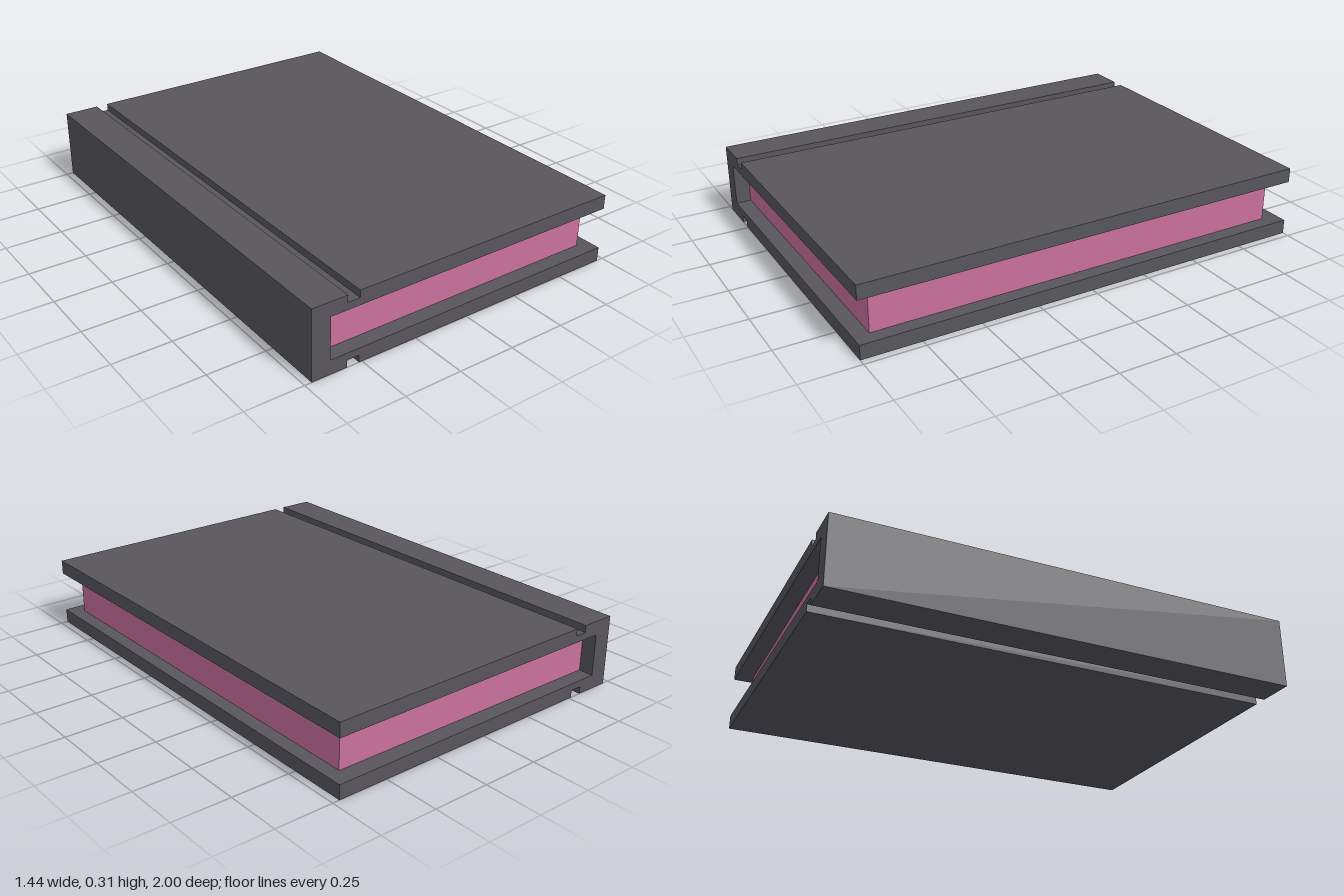
import * as THREE from 'three';

// Extrude a closed outline along z, centred on z = 0
function extrudeOutline(points, depth) {
  const shape = new THREE.Shape(points.map(([x, y]) => new THREE.Vector2(x, y)));
  const geometry = new THREE.ExtrudeGeometry(shape, { depth, bevelEnabled: false });
  return geometry.translate(0, 0, -depth / 2);
}

export function createModel() {
  const coverMaterial = new THREE.MeshStandardMaterial({ color: 0x58565c });
  coverMaterial.name = 'charcoal cover';
  const pageMaterial = new THREE.MeshStandardMaterial({ color: 0xcb719e });
  pageMaterial.name = 'pink pages';

  const book = new THREE.Group();
  book.name = 'book';

  // Cover: C-shaped section with a hinge groove in each board
  const height = 0.306;
  const lowerHalf = [
    [-0.72, 0], [-0.566, 0], [-0.566, 0.031], [-0.513, 0.031], [-0.513, 0],
    [0.72, 0], [0.72, 0.062], [-0.639, 0.062],
  ];
  const upperHalf = lowerHalf.map(([x, y]) => [x, height - y]).reverse();
  const cover = new THREE.Mesh(extrudeOutline([...lowerHalf, ...upperHalf], 2), coverMaterial);
  cover.name = 'cover';
  book.add(cover);

  // Page block: fills the cover, with a slightly tapered back edge
  const pageGeometry = new THREE.BoxGeometry(1.299, 0.182, 1.87);
  pageGeometry.translate(0.0105, height / 2, 0);
  const position = pageGeometry.attributes.position;
  for (let i = 0; i < position.count; i++) {
    if (position.getX(i) > 0 && position.getZ(i) < 0) position.setZ(i, -0.926);
  }
  pageGeometry.computeVertexNormals();
  const pages = new THREE.Mesh(pageGeometry, pageMaterial);
  pages.name = 'pages';
  book.add(pages);

  return book;
}
